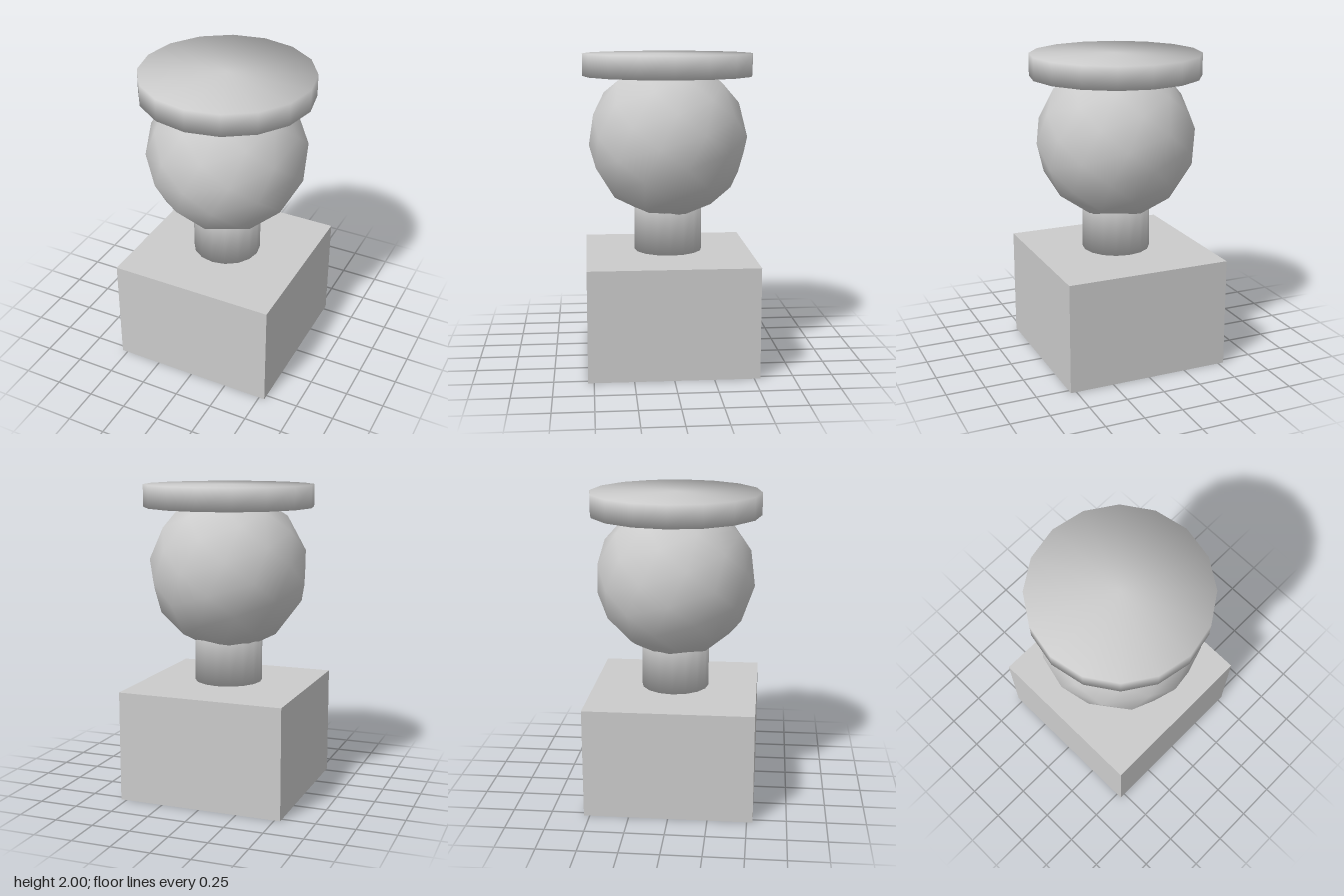
import * as THREE from 'three';
import { mergeVertices } from 'three/addons/utils/BufferGeometryUtils.js';
import { ConvexGeometry } from 'three/addons/geometries/ConvexGeometry.js';

const material = new THREE.MeshStandardMaterial({ color: 0xcccccc });

function addPart(group, name, geometry, y) {
  const mesh = new THREE.Mesh(geometry, material);
  mesh.name = name;
  mesh.position.y = y;
  group.add(mesh);
}

// Closed 16-sided drum whose shading is smoothed over the rims
function softDrum(radius, height) {
  const raw = new THREE.CylinderGeometry(radius, radius, height, 16);
  raw.deleteAttribute('uv');
  raw.deleteAttribute('normal');
  const geometry = mergeVertices(raw);
  const p = geometry.attributes.position;
  const normals = [];
  for (let i = 0; i < p.count; i++) {
    normals.push(0.75 * p.getX(i) / radius, 0.66 * Math.sign(p.getY(i)), 0.75 * p.getZ(i) / radius);
  }
  geometry.setAttribute('normal', new THREE.Float32BufferAttribute(normals, 3));
  return geometry;
}

// Low-poly ball from points evenly spread on a spiral, with smooth radial normals
function spiralBall(radius, count) {
  const points = [];
  for (let i = 0; i < count; i++) {
    const phi = Math.acos(1 - 2 * (i + 0.5) / count);
    const theta = i * Math.PI * (3 - Math.sqrt(5));
    points.push(new THREE.Vector3().setFromSphericalCoords(radius, phi, theta));
  }
  const geometry = new ConvexGeometry(points);
  const normals = geometry.attributes.position.clone();
  geometry.setAttribute('normal', normals);
  geometry.normalizeNormals();
  return geometry;
}

export function createModel() {
  const group = new THREE.Group();
  group.name = 'pedestalBust';

  // Square plinth
  addPart(group, 'base', new THREE.BoxGeometry(1.075, 0.71, 1.075), 0.355);

  // Neck floats just above the plinth and runs up into the ball
  addPart(group, 'neck', softDrum(0.22, 0.375), 0.9125);

  // Round head
  addPart(group, 'head', spiralBall(0.515, 64), 1.45);

  // Flat cap
  addPart(group, 'cap', softDrum(0.548, 0.142), 1.929);

  return group;
}
